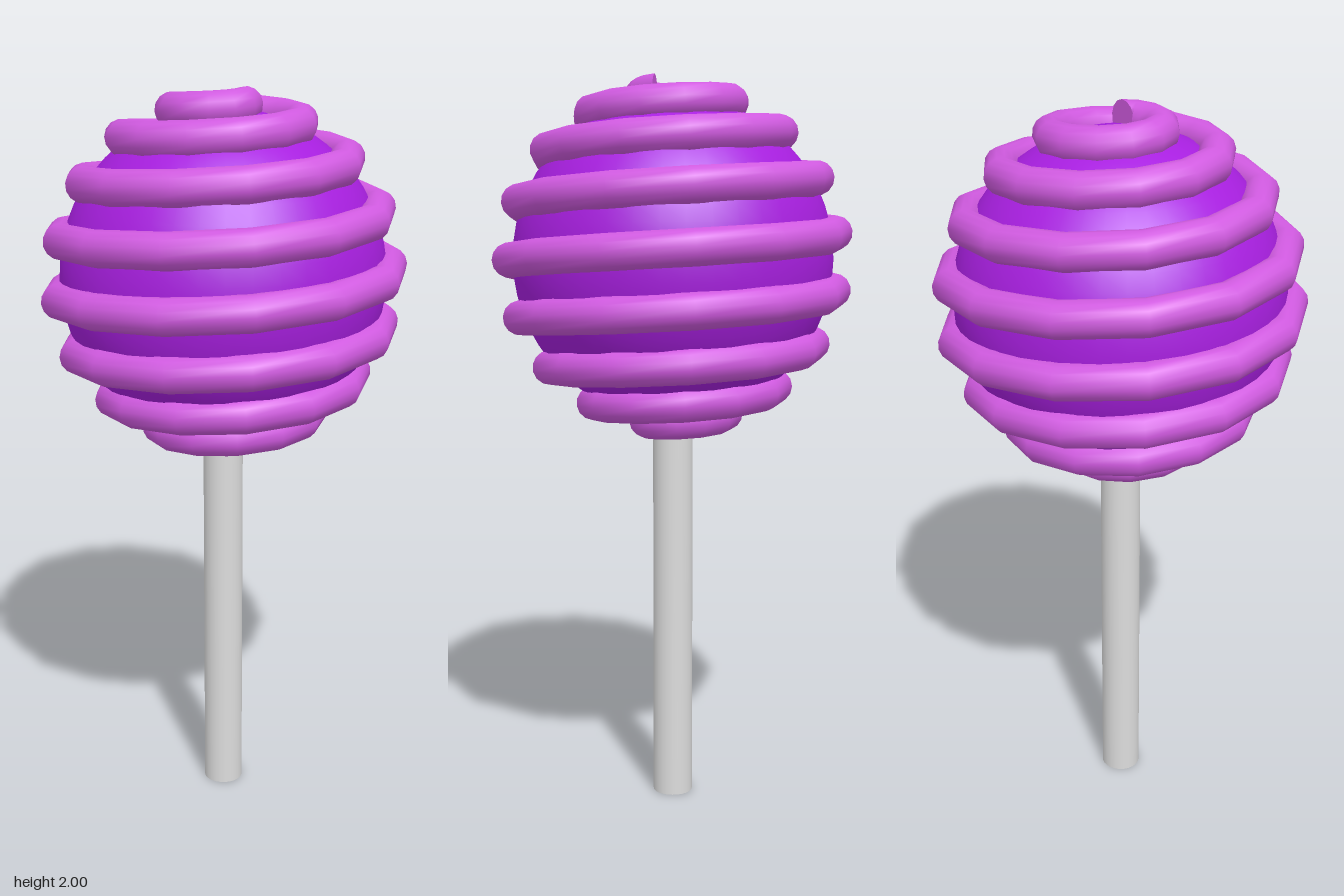
import * as THREE from 'three';

const CENTRE_Y = 1.51;
const PATH_RADIUS = 0.447; // ribbon path around the candy ball
const TUBE_RADIUS = 0.047;
const PER_TURN = 13; // straight pieces in one turn
const SIDES = 14;

const candyMaterial = new THREE.MeshStandardMaterial({ color: 0xa81fe0 });
candyMaterial.name = 'purple candy';
const swirlMaterial = new THREE.MeshStandardMaterial({ color: 0xd05ae0 });
swirlMaterial.name = 'pink swirl';
const stickMaterial = new THREE.MeshStandardMaterial({ color: 0xdcdcdc });
stickMaterial.name = 'white stick';

// Point number i on the spherical spiral, running from the top to the bottom
function spiralPoint(i) {
  const turns = i / PER_TURN;
  const polar = THREE.MathUtils.degToRad(9.8 + 20.05 * turns);
  const angle = turns * Math.PI * 2;
  return new THREE.Vector3(
    Math.sin(polar) * Math.cos(angle),
    Math.cos(polar),
    Math.sin(polar) * Math.sin(angle)
  ).multiplyScalar(PATH_RADIUS);
}

// Tube swept along the spiral, with closed ends
function swirlGeometry() {
  const first = -1;
  const last = 8 * PER_TURN + 1;
  const positions = [];
  const indices = [];
  const rings = [];
  for (let i = first; i <= last; i++) {
    const point = spiralPoint(i);
    const tangent = spiralPoint(i + 1).sub(spiralPoint(i - 1));
    if (i === first) tangent.set(0.93, 0, 0.36);
    if (i === last) tangent.set(-0.93, 0, 0.36);
    tangent.normalize();
    const normal = point.clone().addScaledVector(tangent, -point.dot(tangent)).normalize();
    const side = new THREE.Vector3().crossVectors(tangent, normal);
    const ring = [];
    for (let j = 0; j < SIDES; j++) {
      const a = (j / SIDES) * Math.PI * 2;
      ring.push(point.clone()
        .addScaledVector(normal, TUBE_RADIUS * Math.cos(a))
        .addScaledVector(side, TUBE_RADIUS * Math.sin(a)));
    }
    rings.push(ring);
    ring.forEach((p) => positions.push(p.x, p.y, p.z));
  }
  for (let i = 0; i < rings.length - 1; i++) {
    for (let j = 0; j < SIDES; j++) {
      const k = (j + 1) % SIDES;
      const a = i * SIDES + j;
      const b = i * SIDES + k;
      indices.push(a, b, a + SIDES, b, b + SIDES, a + SIDES);
    }
  }
  // End caps on their own vertices, so their rims stay sharp
  [rings[0].slice().reverse(), rings[rings.length - 1]].forEach((ring) => {
    const start = positions.length / 3;
    ring.forEach((p) => positions.push(p.x, p.y, p.z));
    for (let j = 1; j < SIDES - 1; j++) indices.push(start, start + j, start + j + 1);
  });
  const geometry = new THREE.BufferGeometry();
  geometry.setAttribute('position', new THREE.Float32BufferAttribute(positions, 3));
  geometry.setIndex(indices);
  geometry.computeVertexNormals();
  return geometry;
}

export function createModel() {
  const group = new THREE.Group();
  group.name = 'lollipop';
  const add = (name, geometry, material, y) => {
    const mesh = new THREE.Mesh(geometry, material);
    mesh.name = name;
    mesh.position.y = y;
    group.add(mesh);
  };
  add('candyBall', new THREE.SphereGeometry(0.435, 40, 28), candyMaterial, CENTRE_Y);
  add('spiralSwirl', swirlGeometry(), swirlMaterial, CENTRE_Y);
  add('stick', new THREE.CylinderGeometry(0.055, 0.055, 1.12, 24), stickMaterial, 0.56);
  return group;
}
